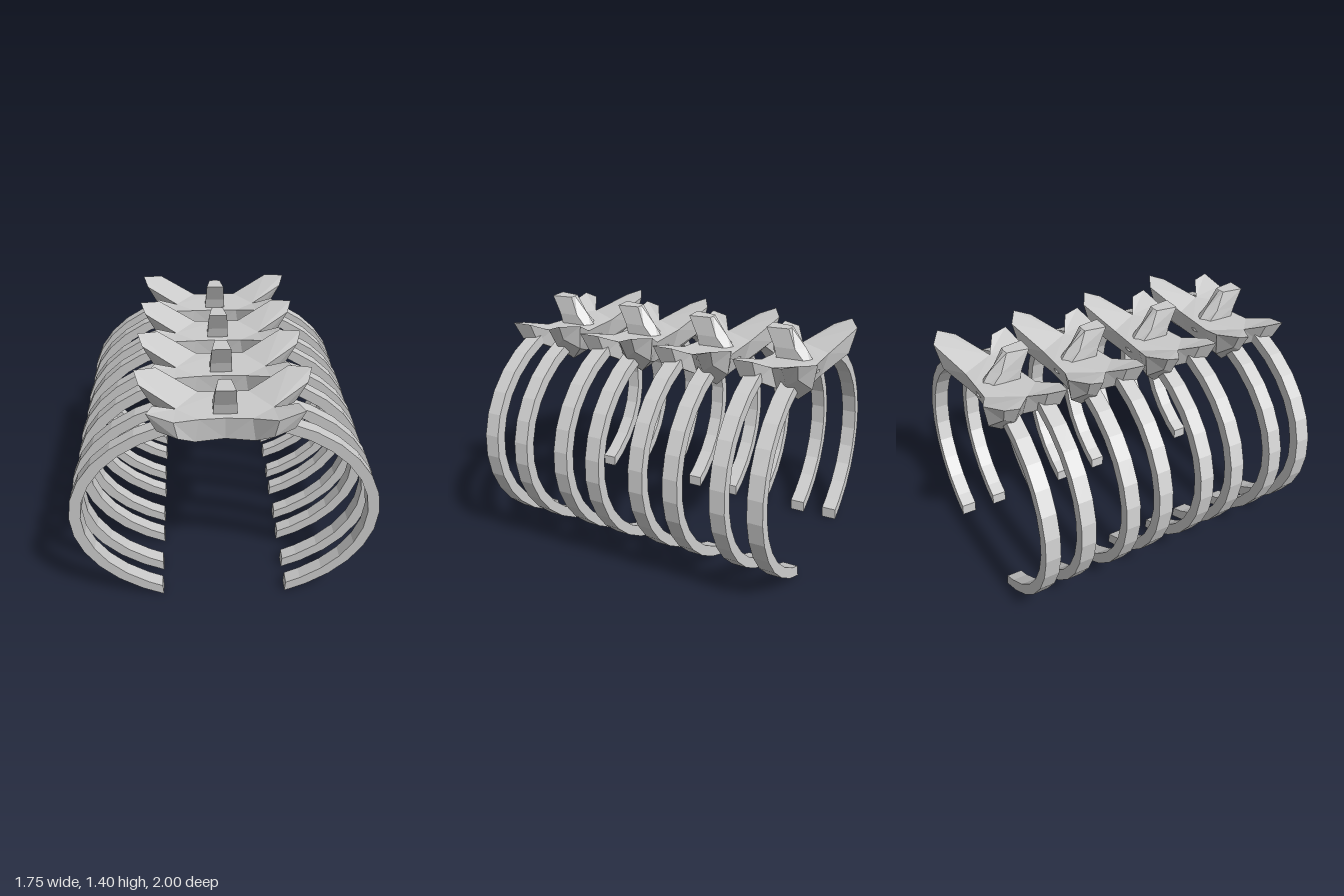
import * as THREE from 'three';

const material = new THREE.MeshStandardMaterial({ color: 0xcccccc, flatShading: true });
const SEGMENTS = 4, PITCH = 0.5;

// Faceted geometry from polygons of [x, y, z] corners, each fanned from its first corner.
function facets(polys) {
  const out = [];
  for (const p of polys)
    for (let i = 1; i < p.length - 1; i++) out.push(...p[0], ...p[i], ...p[i + 1]);
  const g = new THREE.BufferGeometry();
  g.setAttribute('position', new THREE.Float32BufferAttribute(out, 3));
  g.computeVertexNormals();
  return g;
}

const mirror = (polys) => polys.map((p) => p.map(([x, y, z]) => [-x, y, z]).reverse());

// Skin between successive rings of corners, with both ends closed.
function loft(rings) {
  const polys = [[...rings[0]].reverse(), rings[rings.length - 1]];
  for (let j = 0; j < rings.length - 1; j++) {
    const a = rings[j], b = rings[j + 1];
    a.forEach((_, i) => {
      const k = (i + 1) % a.length;
      polys.push([a[i], a[k], b[k], b[i]]);
    });
  }
  return polys;
}

// Half of the vertebra: a slab between an upper and a lower outline, with two wings.
function vertebraHalf() {
  const T = [
    [0, 1.23, 0.595], [0.14, 1.23, 0.595], [0.37, 1.335, 0.5], [0.49, 1.355, 0.57],
    [0.46, 1.315, 0.67], [0.26, 1.235, 0.8], [0.38, 1.295, 0.87], [0.41, 1.305, 0.975],
    [0.27, 1.265, 1.0], [0.14, 1.23, 0.91], [0, 1.225, 0.89],
  ];
  const B = [
    [0, 1.09, 0.63], [0.12, 1.09, 0.63], [0.34, 1.18, 0.53], [0.44, 1.26, 0.58],
    [0.4, 1.2, 0.66], [0.22, 1.1, 0.78], [0.33, 1.17, 0.86], [0.36, 1.19, 0.95],
    [0.25, 1.16, 0.985], [0.16, 1.09, 0.9], [0, 1.09, 0.87],
  ];
  const keel = [0.27, 1.08, 0.63];
  const polys = [];
  // upper face
  for (const t of [[0, 1, 5], [0, 5, 10], [5, 9, 10], [1, 2, 5], [2, 3, 5], [3, 4, 5],
    [5, 6, 7], [5, 7, 8], [5, 8, 9]]) polys.push(t.map((i) => T[i]).reverse());
  // lower face, with a keel under the rear wing
  for (const t of [[0, 1, 5], [0, 5, 10], [5, 9, 10], [5, 6, 7], [5, 7, 8], [5, 8, 9]])
    polys.push(t.map((i) => B[i]));
  for (let i = 1; i <= 5; i++) polys.push([keel, B[i], B[i === 5 ? 1 : i + 1]]);
  // rim
  for (let i = 0; i < 10; i++)
    polys.push([T[i], T[i + 1], B[i + 1]], [T[i], B[i + 1], B[i]]);
  return polys;
}

// Upright spine with a ridged back, leaning to the front.
function spinePolys() {
  const ring = (y, wf, zf, ws, zs, zr) =>
    [[-wf, y, zf], [wf, y, zf], [ws, y, zs], [0, y, zr], [-ws, y, zs]];
  return loft([
    ring(1.16, 0.065, 0.83, 0.065, 0.62, 0.6),
    ring(1.29, 0.062, 0.865, 0.055, 0.74, 0.69),
    ring(1.4, 0.055, 0.92, 0.035, 0.79, 0.785),
  ]);
}

// One curved rib, leaning towards the front as it rises.
function ribPolys(zMid, rx) {
  const angles = [-65.5];
  for (let a = -56.25; a < 68; a += 11.25) angles.push(a);
  angles.push(73);
  const point = (deg, r, ry, side) => {
    const a = THREE.MathUtils.degToRad(deg);
    const y = 0.6 + ry * Math.sin(a);
    return [r * Math.cos(a), y, zMid + 0.072 * (y - 0.6) + side * 0.045];
  };
  return loft(angles.map((a) => {
    const inner = Math.max(a, -63); // upright cut at the free end
    return [
      point(a, rx, 0.658, 1), point(a, rx, 0.658, -1),
      point(inner, rx - 0.065, 0.598, -1), point(inner, rx - 0.065, 0.598, 1),
    ];
  }));
}

export function createModel() {
  const model = new THREE.Group();
  model.name = 'ribCage';

  const half = vertebraHalf();
  const frontRib = ribPolys(0.842, 0.87), rearRib = ribPolys(0.622, 0.875);
  const parts = {
    vertebra: facets([...half, ...mirror(half)]),
    spine: facets(spinePolys()),
    frontRibLeft: facets(frontRib),
    frontRibRight: facets(mirror(frontRib)),
    rearRibLeft: facets(rearRib),
    rearRibRight: facets(mirror(rearRib)),
  };

  // Identical segments in a row along z
  for (let s = 0; s < SEGMENTS; s++) {
    const segment = new THREE.Group();
    segment.name = `segment${s + 1}`;
    segment.position.z = -s * PITCH;
    for (const [name, geometry] of Object.entries(parts)) {
      const mesh = new THREE.Mesh(geometry, material);
      mesh.name = name;
      segment.add(mesh);
    }
    model.add(segment);
  }
  return model;
}
